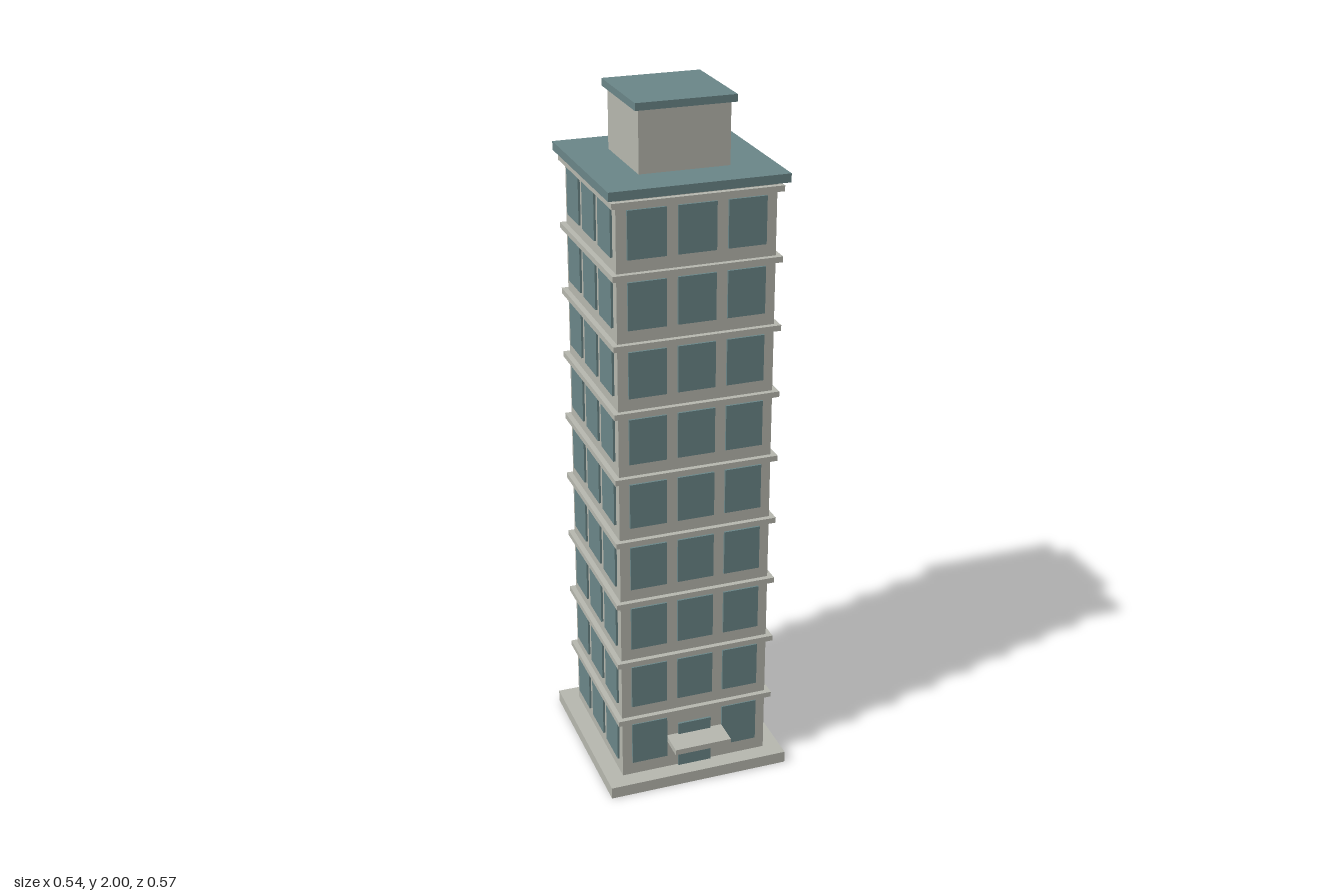
import * as THREE from 'three';

export function createModel() {
  const model = new THREE.Group();
  model.name = 'towerBlock';
  const stone = new THREE.MeshStandardMaterial({ color: 0xb8b9b0 });
  stone.name = 'pale stone';
  const teal = new THREE.MeshStandardMaterial({ color: 0x6b8789 });
  teal.name = 'grey teal';

  const CZ = -0.017; // tower axis, set back to leave room for the canopy
  const HALF = 0.22, FLOOR = 0.193, FLOORS = 9, BASE = 0.035;

  // box spanning y0..y1, centred on x, z
  function box(name, mat, w, y0, y1, d, x = 0, z = CZ, parent = model) {
    const mesh = new THREE.Mesh(new THREE.BoxGeometry(w, y1 - y0, d), mat);
    mesh.position.set(x, (y0 + y1) / 2, z);
    mesh.name = name;
    parent.add(mesh);
    return mesh;
  }

  // plinth and main shaft
  box('plinth', stone, 0.54, 0, BASE, 0.54);
  box('shaft', stone, HALF * 2, BASE, 1.787, HALF * 2);

  // string course above every storey
  for (let f = 0; f < FLOORS; f++) {
    const y = 0.225 + f * FLOOR;
    box('floorBand', stone, 0.47, y - 0.008, y + 0.008, 0.47);
  }

  // three windows per storey on each of the four sides
  for (let side = 0; side < 4; side++) {
    const facade = new THREE.Group();
    facade.name = ['front', 'left', 'back', 'right'][side] + 'Windows';
    facade.position.z = CZ;
    facade.rotation.y = side * Math.PI / 2;
    for (let f = 0; f < FLOORS; f++) {
      for (const x of [-0.138, 0, 0.138]) {
        if (side === 0 && f === 0 && x === 0) continue; // door goes here
        const y = 0.076 + f * FLOOR;
        box('window', teal, 0.106, y, y + 0.132, 0.008, x, HALF + 0.002, facade);
      }
    }
    model.add(facade);
  }

  // entrance
  box('door', teal, 0.1, BASE, 0.18, 0.009, 0, CZ + HALF + 0.002);
  box('canopy', stone, 0.17, 0.127, 0.144, 0.08, 0, 0.243);

  // roof slab, rooftop room and its side unit
  box('roofSlab', teal, 0.494, 1.787, 1.811, 0.494);
  box('rooftopRoom', stone, 0.252, 1.811, 1.98, 0.252);
  box('rooftopRoomCap', teal, 0.277, 1.98, 2, 0.277);
  box('rooftopUnit', teal, 0.02, 1.811, 1.896, 0.141, 0.135, -0.063);

  return model;
}
